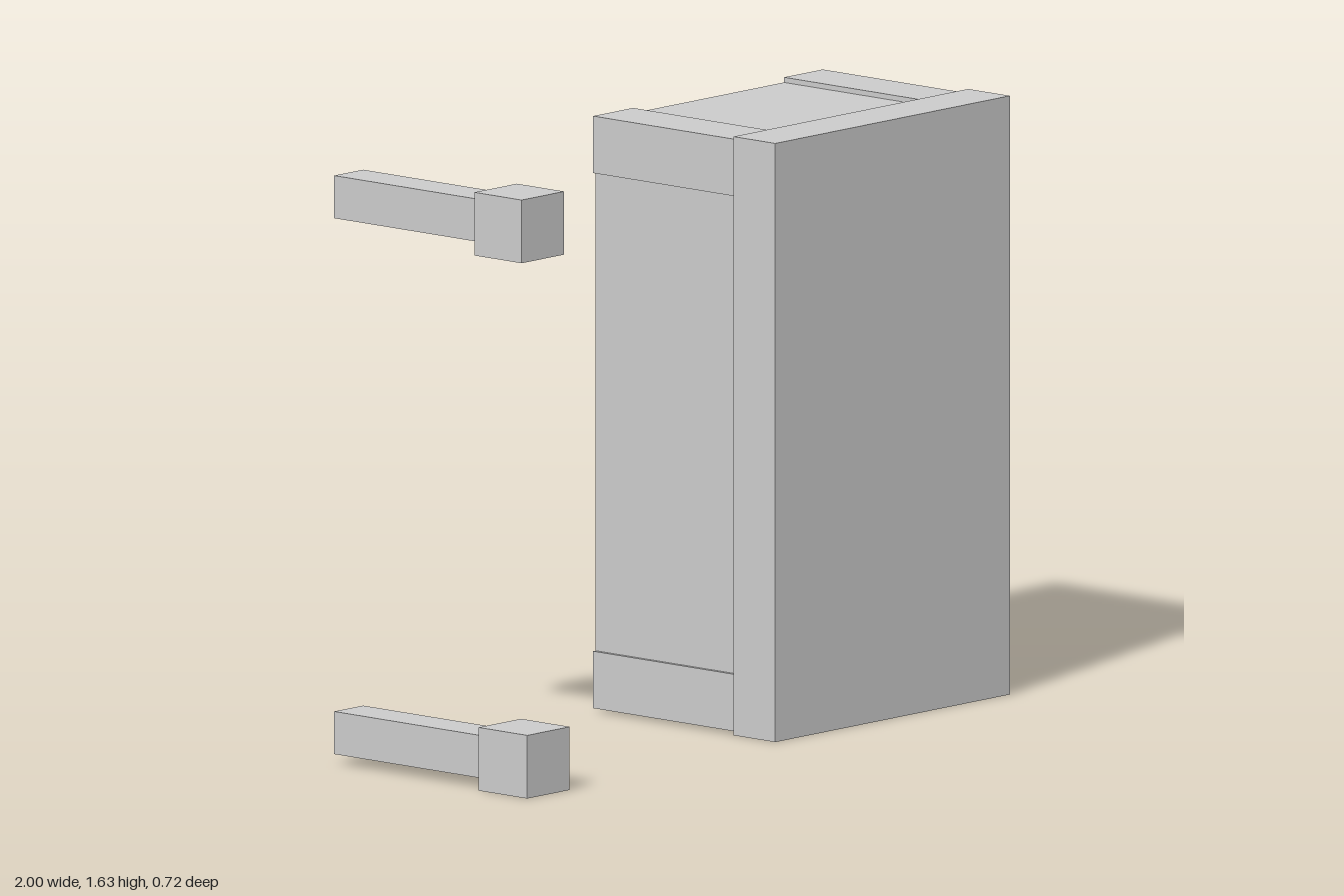
import * as THREE from 'three';

const material = new THREE.MeshStandardMaterial({
  color: 0xcccccc, flatShading: true, side: THREE.DoubleSide,
});

// Thin-walled box with an open back; the front may be open as well.
function shell(name, [x0, x1], [y0, y1], [z0, z1], closedFront) {
  const geometry = new THREE.BoxGeometry(x1 - x0, y1 - y0, z1 - z0);
  // Six indices per face, in the order +x, -x, +y, -y, +z, -z
  const kept = Array.from(geometry.index.array).slice(0, closedFront ? 30 : 24);
  geometry.setIndex(kept);
  geometry.clearGroups();
  geometry.translate((x0 + x1) / 2, (y0 + y1) / 2, (z0 + z1) / 2);
  const mesh = new THREE.Mesh(geometry, material);
  mesh.name = name;
  return mesh;
}

// Flat sheet running along z, either upright or lying
function sheet(name, width, depth, upright, x, y, z) {
  const geometry = new THREE.PlaneGeometry(width, depth);
  geometry.rotateX(-Math.PI / 2);
  if (upright) geometry.rotateZ(Math.PI / 2);
  const mesh = new THREE.Mesh(geometry, material);
  mesh.name = name;
  mesh.position.set(x, y, z);
  return mesh;
}

export function createModel() {
  const model = new THREE.Group();
  model.name = 'hollowCaseWithPegs';

  // Case: front cover, corner tubes and the panels between them
  const box = new THREE.Group();
  box.name = 'case';
  const back = -0.36, seam = 0.15;
  box.add(shell('frontCover', [0.06, 1], [0, 1.63], [seam, 0.3], true));

  const rows = [
    { name: 'lower', y: [0.01, 0.165], outer: 0.993 },
    { name: 'upper', y: [1.467, 1.622], outer: 0.985 },
  ];
  for (const { name, y, outer } of rows) {
    box.add(shell(name + 'RightTube', [0.065, 0.225], y, [back, seam], false));
    box.add(shell(name + 'LeftTube', [0.83, outer], y, [back, seam], false));
  }

  const depth = seam - back, midZ = (seam + back) / 2;
  for (const [name, x] of [['rightPanel', 0.075], ['leftPanel', 0.973]])
    box.add(sheet(name, 1.302, depth, true, x, 0.816, midZ));
  for (const [name, y] of [['bottomPanel', 0.025], ['topPanel', 1.608]])
    box.add(sheet(name, 0.605, depth, false, 0.5275, y, midZ));
  model.add(box);

  // Two separate pegs: square head on a slimmer hollow shaft
  const pegs = [
    { name: 'lowerPeg', y: 0, z: [0.185, 0.36], shaftY: 0.028 },
    { name: 'upperPeg', y: 1.455, z: [0.17, 0.34], shaftY: 1.487 },
  ];
  for (const { name, y, z, shaftY } of pegs) {
    const peg = new THREE.Group();
    peg.name = name;
    peg.add(shell('pegHead', [-1, -0.83], [y, y + 0.172], z, true));
    peg.add(shell('pegShaft', [-0.972, -0.856], [shaftY, shaftY + 0.116], [back, z[0] + 0.02], true));
    model.add(peg);
  }
  return model;
}
